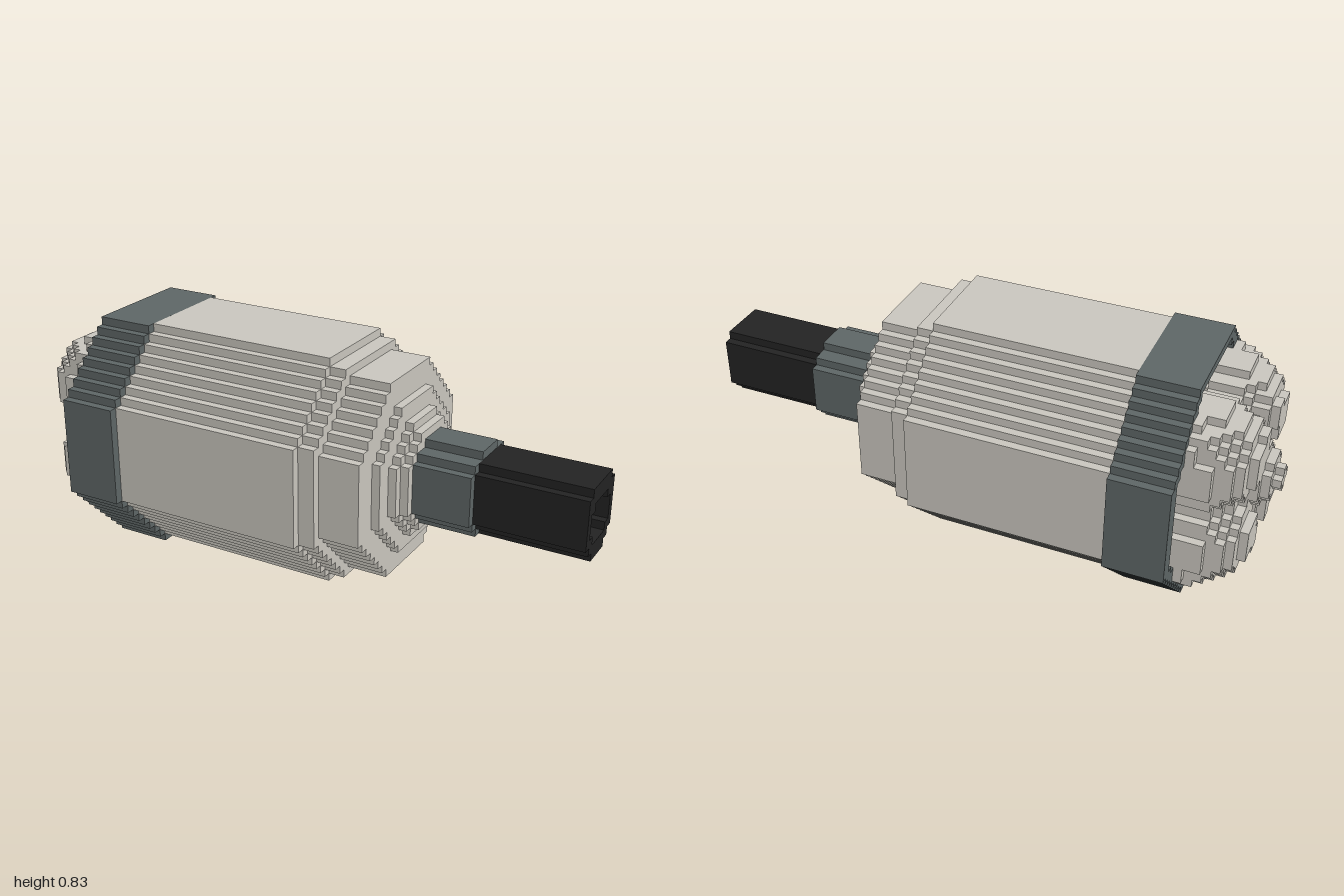
import * as THREE from 'three';
import { mergeGeometries } from 'three/addons/utils/BufferGeometryUtils.js';

const V = 2 / 70;      // size of one block
const AXIS = 15;       // height of the long axis, in blocks

function mat(name, color) {
  const m = new THREE.MeshStandardMaterial({ color });
  m.name = name;
  return m;
}

// half widths of the rows of a stepped octagon, bottom to top; the top is cut at row 13
function octagon(radius, flat) {
  const rows = [];
  for (let j = -radius; j < Math.min(radius, 14); j++) {
    const d = j >= 0 ? j + 1 : -j;
    rows.push(Math.min(radius, radius + flat - d));
  }
  return { start: -radius, rows };
}

// staircase outline, mirrored left and right
function outline({ start, rows }) {
  const right = [], left = [];
  rows.forEach((w, i) => {
    for (const y of [start + i, start + i + 1]) {
      right.push(new THREE.Vector2(w * V, (y + AXIS) * V));
      left.unshift(new THREE.Vector2(-w * V, (y + AXIS) * V));
    }
  });
  return [...right, ...left].filter((p, i, a) => {
    const q = a[(i + a.length - 1) % a.length], n = a[(i + 1) % a.length];
    return Math.abs((p.x - q.x) * (n.y - p.y) - (p.y - q.y) * (n.x - p.x)) > 1e-9;
  });
}

// extrude a stepped outline along x between two block positions
function prism(section, from, to, hole) {
  const shape = new THREE.Shape(outline(section));
  if (hole) shape.holes.push(new THREE.Path(outline(hole).reverse()));
  const g = new THREE.ExtrudeGeometry(shape, { depth: (to - from) * V, bevelEnabled: false });
  g.rotateY(Math.PI / 2);
  g.translate(from * V - 1, 0, 0);
  return g;
}

// outer faces of the blocks that lie inside any of the balls [x, y, z, radius]
function blockBalls(balls, lo, hi) {
  const inside = (x, y, z) => balls.some(([a, b, c, r]) =>
    (x + 0.5 - a) ** 2 + (y + 0.5 - b) ** 2 + (z + 0.5 - c) ** 2 < r * r);
  const pos = [];
  for (let x = lo[0]; x < hi[0]; x++)
    for (let y = lo[1]; y < hi[1]; y++)
      for (let z = lo[2]; z < hi[2]; z++) {
        if (!inside(x, y, z)) continue;
        for (let a = 0; a < 3; a++)
          for (const s of [-1, 1]) {
            const n = [x, y, z];
            n[a] += s;
            if (inside(...n)) continue;
            const corner = (u, v) => {
              const p = [x, y, z];
              p[a] += s > 0 ? 1 : 0;
              p[(a + 1) % 3] += u;
              p[(a + 2) % 3] += v;
              return [p[0] * V - 1, (p[1] + AXIS) * V, p[2] * V];
            };
            const q = [corner(0, 0), corner(1, 0), corner(1, 1), corner(0, 1)];
            if (s < 0) q.reverse();
            for (const i of [0, 1, 2, 0, 2, 3]) pos.push(...q[i]);
          }
      }
  const g = new THREE.BufferGeometry();
  g.setAttribute('position', new THREE.Float32BufferAttribute(pos, 3));
  g.computeVertexNormals();
  return g;
}

export function createModel() {
  const light = mat('pale grey', 0xcbc8c0);
  const dark = mat('slate grey', 0x5f6767);
  const black = mat('black', 0x232323);
  const group = new THREE.Group();
  const add = (name, geometry, material) => {
    const m = new THREE.Mesh(geometry, material);
    m.name = name;
    group.add(m);
  };

  // main body and stepped nose: [radius, half flat, from, to]
  const steps = [
    [14, 6, 16, 40], [13, 6, 40, 42], [12, 5, 42, 47],
    [9, 4, 47, 48], [7, 3, 48, 49], [6, 3, 49, 50],
  ];
  add('body', mergeGeometries(steps.map(([r, f, a, b]) => prism(octagon(r, f), a, b))), light);

  // rear band with a recessed back
  const band = octagon(15, 6);
  const recess = octagon(13, 6);
  add('rearBand', mergeGeometries([
    prism(band, 9, 12, recess),
    prism(band, 12, 16),
  ]), dark);

  // collar and hollow barrel
  const bore = { start: -3, rows: [2, 3, 3, 3, 2] };
  add('collar', prism({ start: -5, rows: [3, 4, 5, 5, 5, 5, 5, 5, 4, 2] }, 50, 57, bore), dark);
  add('barrel', prism({ start: -5, rows: [2, 3, 4, 4, 4, 4, 4, 4, 3] }, 57, 70, bore), black);

  // lumpy rear cluster: four lobes, a centre knob and small bumps
  const balls = [[4, 1.5, -1.5, 3.7], [10, 0, 0, 5]];
  for (const y of [-5, 5])
    for (const z of [-5, 5]) {
      balls.push([8, y, z, 6]);
      balls.push([4.4, y * 1.3, z * 0.6, 2.3]);
      balls.push([9, y * 1.5, z * 1.5, 3.3]);
    }
  add('rearCluster', blockBalls(balls, [0, -12, -12], [13, 12, 12]), light);

  return group;
}
